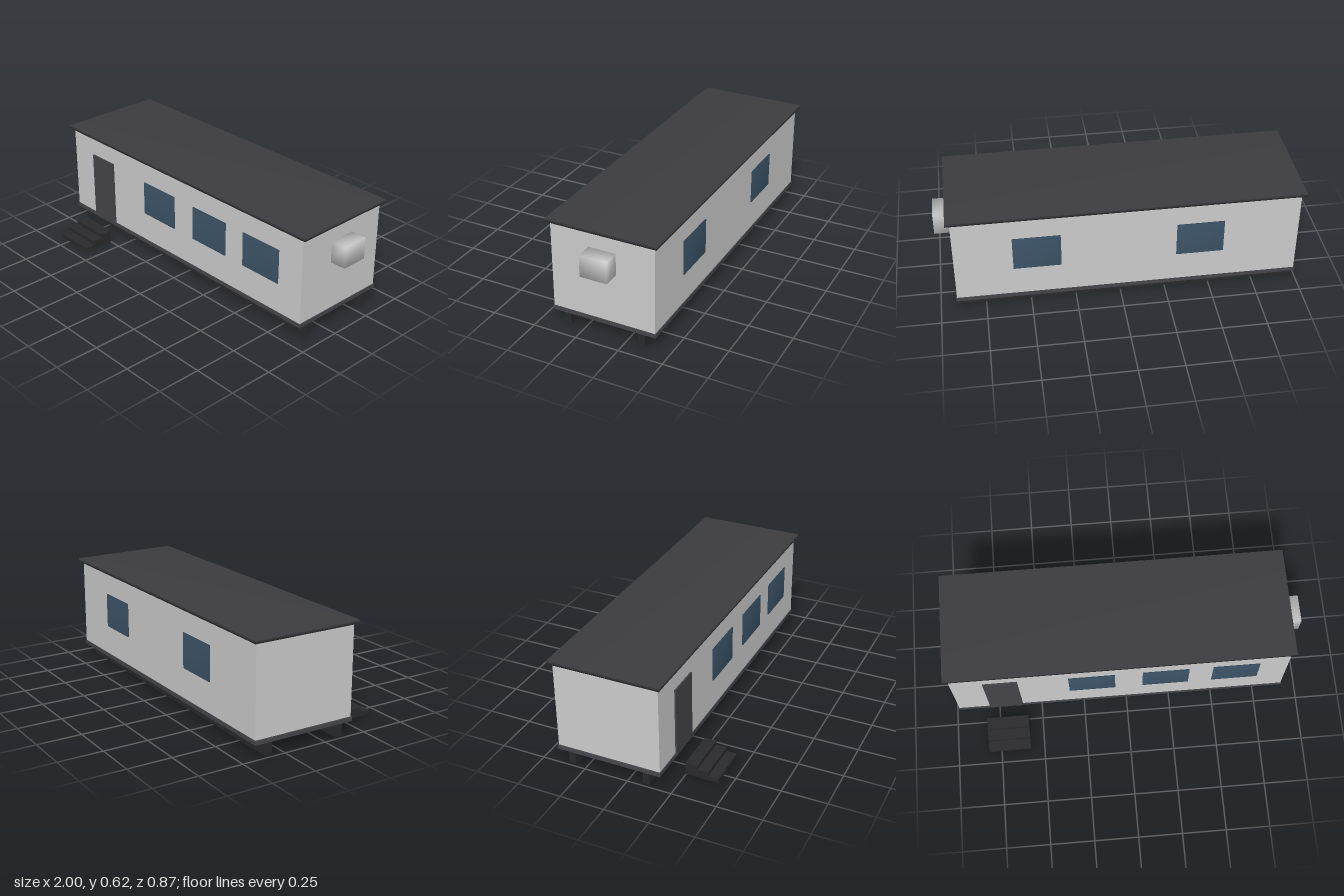
import * as THREE from 'three';
import { mergeVertices } from 'three/addons/utils/BufferGeometryUtils.js';

const mat = (color) => new THREE.MeshStandardMaterial({ color });

// Box with corner normals shared between its faces, for soft shading
function softBox(w, h, d) {
  const g = new THREE.BoxGeometry(w, h, d);
  g.deleteAttribute('normal');
  g.deleteAttribute('uv');
  const merged = mergeVertices(g);
  merged.computeVertexNormals();
  return merged;
}

export function createModel() {
  const model = new THREE.Group();
  model.name = 'siteCabin';

  const wallMat = mat(0xcccccc);
  const roofMat = mat(0x3c3c40);
  const trimMat = mat(0x46464b);
  const darkMat = mat(0x2a2a2c);
  const doorMat = mat(0x444449);
  const glassMat = mat(0x3c5468);

  // Adds a box given its extents along each axis
  function box(name, [x0, x1], [y0, y1], [z0, z1], material, soft = false, parent = model) {
    const size = [x1 - x0, y1 - y0, z1 - z0];
    const geo = soft ? softBox(...size) : new THREE.BoxGeometry(...size);
    const mesh = new THREE.Mesh(geo, material);
    mesh.name = name;
    mesh.position.set((x0 + x1) / 2, (y0 + y1) / 2, (z0 + z1) / 2);
    parent.add(mesh);
    return mesh;
  }

  // Cabin shell
  box('walls', [-0.977, 0.907], [0.09, 0.598], [-0.413, 0.178], wallMat);
  box('floorFrame', [-0.985, 0.912], [0.071, 0.094], [-0.417, 0.182], trimMat);
  box('roof', [-1, 0.93], [0.597, 0.616], [-0.433, 0.196], roofMat, true);

  // Long support skids
  for (const z of [0.1, -0.335]) {
    box('skid', [-0.98, 0.907], [0, 0.072], [z - 0.02, z + 0.02], darkMat);
  }

  // Door
  box('door', [-0.797, -0.607], [0.082, 0.484], [0.17, 0.187], doorMat);

  // Windows: three at the front, two at the back
  for (const x of [-0.195, 0.22, 0.615]) {
    box('frontWindow', [x - 0.13, x + 0.13], [0.268, 0.467], [0.172, 0.184], glassMat, true);
  }
  for (const x of [0.46, -0.43]) {
    box('backWindow', [x - 0.13, x + 0.13], [0.268, 0.467], [-0.419, -0.407], glassMat, true);
  }

  // Air conditioner on the end wall
  box('airConditioner', [0.9, 1], [0.379, 0.503], [-0.196, -0.041], wallMat, true);

  // Entrance steps, each one a full-height block
  const steps = new THREE.Group();
  steps.name = 'steps';
  const edges = [0.247, 0.315, 0.375, 0.433];
  for (let i = 0; i < 3; i++) {
    box('step', [-0.822, -0.58], [0, 0.072 - i * 0.024], [edges[i], edges[i + 1]], darkMat, false, steps);
  }
  model.add(steps);

  return model;
}
